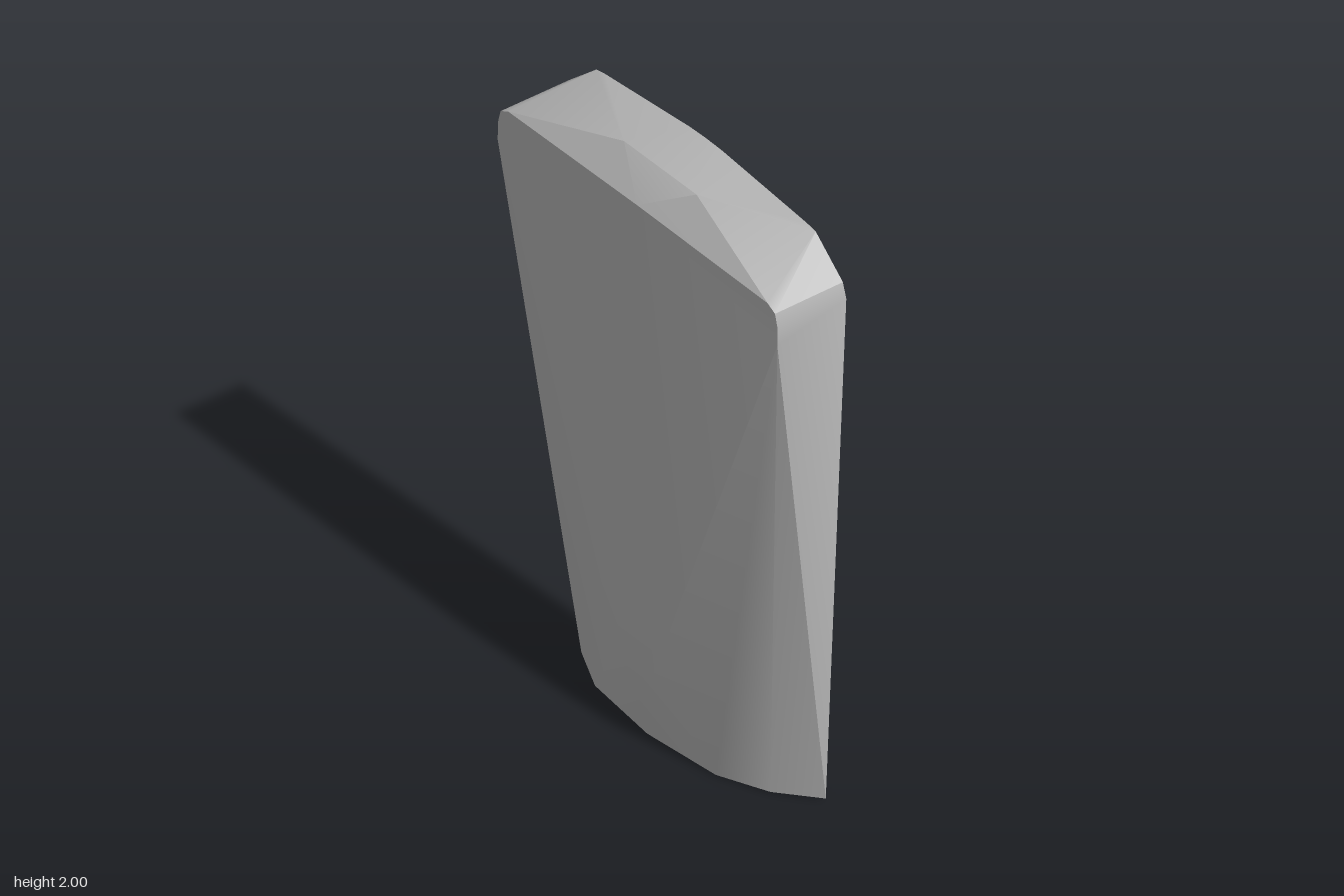
import * as THREE from 'three';
import { ConvexGeometry } from 'three/addons/geometries/ConvexGeometry.js';
import { toCreasedNormals } from 'three/addons/utils/BufferGeometryUtils.js';

// Corners of the right half (x >= 0); the other half is mirrored.
const backOutline = [
  [0.595, 0, -0.13], [0.697, 1.8, -0.13], [0.68, 1.85, -0.13],
  [0.545, 1.957, -0.13], [0.5, 1.964, -0.13], [0.08, 1.998, -0.13], [0, 2, -0.13],
];
const frontOutline = [
  [0.695, 1.73, 0.12], [0.695, 1.79, 0.119], [0.682, 1.835, 0.119],
  [0.645, 1.853, 0.119], [0, 1.862, 0.122],
];
const topRidge = [[0.18, 1.96, 0.037]];
const lowerFront = [[0.09, 0.27, 0.13], [0, 0.21, 0.13]];
const footArc = [[0, 0, 0.085], [0.3, 0, 0.055], [0.47, 0, -0.02]];

export function createModel() {
  const group = new THREE.Group();
  group.name = 'taperedBlock';

  const grey = new THREE.MeshStandardMaterial({ color: 0xb4b4b4 });
  grey.name = 'grey';

  // Mirror the corners and wrap them in one faceted solid
  const points = [];
  for (const [x, y, z] of [...backOutline, ...frontOutline, ...topRidge, ...lowerFront, ...footArc]) {
    points.push(new THREE.Vector3(x, y, z));
    if (x > 0) points.push(new THREE.Vector3(-x, y, z));
  }
  const hull = new ConvexGeometry(points);

  // Soften shallow folds, keep the outer edges sharp
  const body = new THREE.Mesh(toCreasedNormals(hull, 0.55), grey);
  body.name = 'body';
  group.add(body);
  return group;
}
